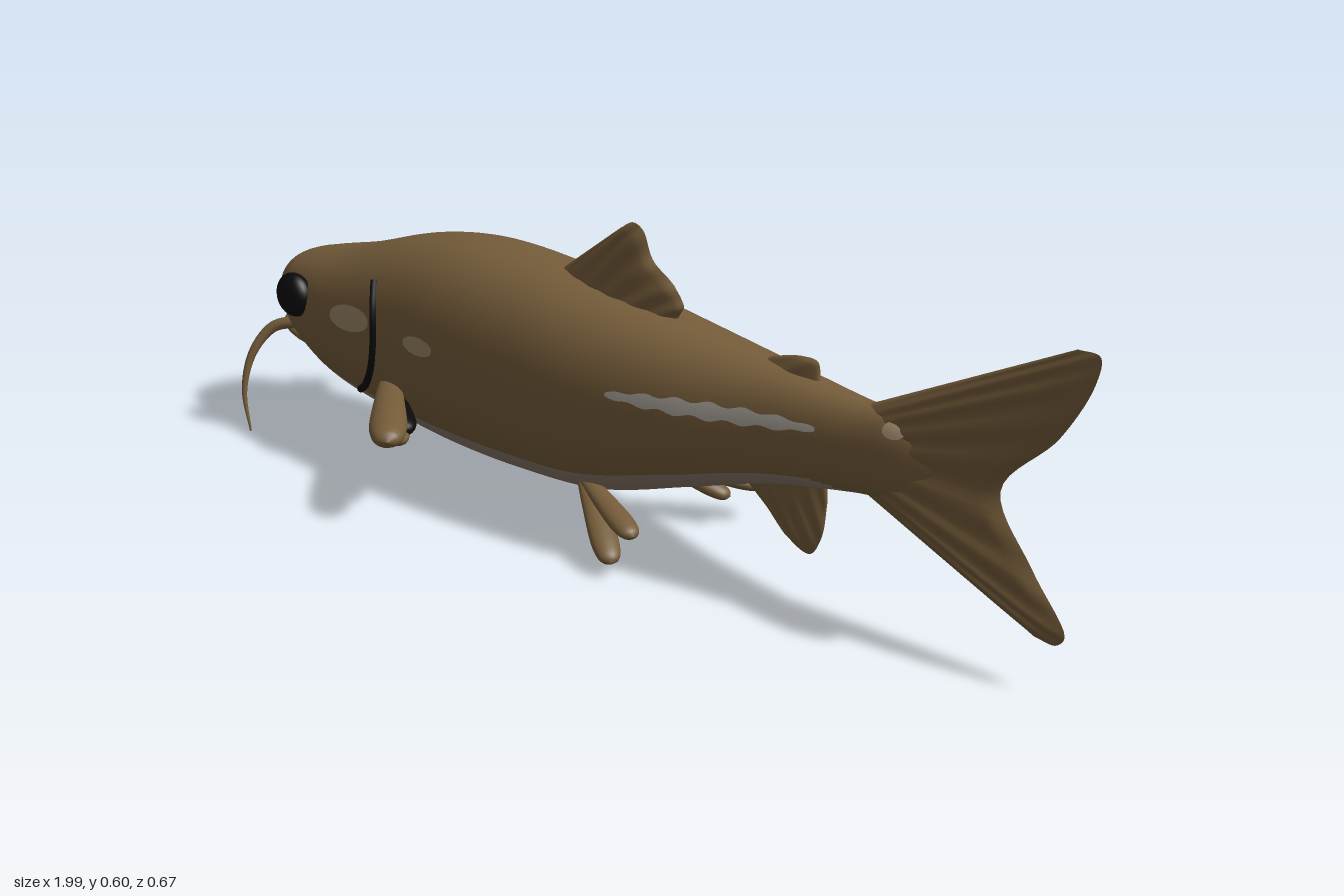
import * as THREE from 'three';

const V = (x, y, z) => new THREE.Vector3(x, y, z);
const paint = (name, color, extra = {}) => {
  const m = new THREE.MeshStandardMaterial({ color, ...extra });
  m.name = name;
  return m;
};

// Body stations: x, top, bottom, half width
const STATIONS = [
  [-0.985, 0.285, 0.275, 0.003], [-0.972, 0.325, 0.24, 0.055], [-0.94, 0.362, 0.222, 0.085],
  [-0.88, 0.382, 0.18, 0.115], [-0.74, 0.415, 0.125, 0.148], [-0.55, 0.47, 0.09, 0.16],
  [-0.38, 0.493, 0.074, 0.166], [-0.18, 0.485, 0.074, 0.163], [0, 0.462, 0.09, 0.153],
  [0.2, 0.437, 0.15, 0.122], [0.38, 0.418, 0.205, 0.08], [0.55, 0.398, 0.236, 0.05],
  [0.65, 0.39, 0.25, 0.034], [0.76, 0.33, 0.3, 0.006],
];

// Smooth cubic interpolation through the stations
function station(x) {
  const S = STATIONS, n = S.length;
  let i = 0;
  while (i < n - 2 && x > S[i + 1][0]) i++;
  const slope = (k, c) => {
    const a = S[Math.max(k - 1, 0)], b = S[Math.min(k + 1, n - 1)];
    return (b[c] - a[c]) / (b[0] - a[0]);
  };
  const d = S[i + 1][0] - S[i][0], t = (x - S[i][0]) / d, t2 = t * t, t3 = t2 * t;
  const val = (c) => (2 * t3 - 3 * t2 + 1) * S[i][c] + (t3 - 2 * t2 + t) * d * slope(i, c)
    + (3 * t2 - 2 * t3) * S[i + 1][c] + (t3 - t2) * d * slope(i + 1, c);
  const top = val(1), bot = val(2);
  return { c: (top + bot) / 2, h: (top - bot) / 2, w: val(3) };
}

const POW = 2.35; // squareness of the cross-section
const round = (v) => Math.sign(v) * Math.abs(v) ** (2 / POW);

// Half width of the body at a given x and y
function sideZ(x, y) {
  const s = station(x), q = Math.min(1, Math.abs((y - s.c) / s.h));
  return s.w * (1 - q ** POW) ** (1 / POW);
}

function gridGeometry(pos, index) {
  const g = new THREE.BufferGeometry();
  g.setAttribute('position', new THREE.Float32BufferAttribute(pos, 3));
  g.setIndex(index);
  g.computeVertexNormals();
  return g;
}

// Lofted body with a separate belly group
function bodyGeometry() {
  const NX = 130, NA = 80, pos = [], back = [], belly = [];
  for (let i = 0; i <= NX; i++) {
    const x = -0.985 + 1.745 * (i / NX) ** 1.4, s = station(x);
    for (let j = 0; j < NA; j++) {
      const a = (j / NA) * Math.PI * 2;
      pos.push(x, s.c - s.h * round(Math.cos(a)), s.w * round(Math.sin(a)));
      if (i === NX) continue;
      const mid = Math.min(j + 0.5, NA - j - 0.5) / NA * 360;
      const limit = 50 * Math.min(1, Math.max(0, (x + 0.9) * 6), Math.max(0, (0.6 - x) * 8));
      const k = (j + 1) % NA, p = i * NA, q = p + NA;
      (mid < limit ? belly : back).push(p + j, q + j, p + k, q + j, q + k, p + k);
    }
  }
  const g = gridGeometry(pos, [...back, ...belly]);
  g.addGroup(0, back.length, 0);
  g.addGroup(back.length, belly.length, 1);
  return g;
}

// Upright fin: swept from a root line to a tip curve, with raised rays
function finGeometry(root, tip, thick, rays) {
  const NU = 60, NV = 14, pos = [], index = [];
  const edge = new THREE.CatmullRomCurve3(tip.map((p) => V(p[0], p[1], 0)));
  const base = new THREE.LineCurve3(V(...root[0], 0), V(...root[1], 0));
  for (const side of [1, -1]) {
    const start = pos.length / 3;
    for (let i = 0; i <= NU; i++) {
      const u = i / NU, a = base.getPoint(u), b = edge.getPoint(u);
      for (let j = 0; j <= NV; j++) {
        const v = j / NV, p = a.clone().lerp(b, v);
        const ridge = 1 + 0.25 * v * Math.cos(u * rays * Math.PI * 2);
        const t = thick * (1 - 0.65 * v) * ridge * Math.sqrt(Math.max(0, Math.sin(Math.PI * u)) * (1 - v ** 8));
        pos.push(p.x, p.y, side * t);
        if (i === NU || j === NV) continue;
        const k = start + i * (NV + 1) + j, n = k + NV + 1;
        index.push(k, n, k + 1, n, n + 1, k + 1);
      }
    }
  }
  return gridGeometry(pos, index);
}

// Paddle-shaped lobe from a to b, flattened across the "flat" direction
function lobeGeometry(a, b, width, thick, flat) {
  const profile = [[0, 0], [0.5, 0.01], [0.68, 0.15], [0.85, 0.4], [1, 0.7], [0.93, 0.86], [0.65, 0.96], [0, 1]];
  const curve = new THREE.SplineCurve(profile.map((p) => new THREE.Vector2(...p)));
  const pts = curve.getPoints(24).map((p) => new THREE.Vector2(Math.max(0, p.x), p.y));
  const g = new THREE.LatheGeometry(pts, 20);
  const dir = b.clone().sub(a), wide = dir.clone().cross(flat).normalize();
  const thin = wide.clone().cross(dir).normalize();
  g.applyMatrix4(new THREE.Matrix4().makeBasis(wide.multiplyScalar(width), dir, thin.multiplyScalar(thick)).setPosition(a));
  return g;
}

// Thin marking that follows the flank
function patchGeometry(x0, x1, yMid, half, side) {
  const NX = 40, NY = 6, pos = [], index = [];
  for (let i = 0; i <= NX; i++) {
    const t = i / NX, x = x0 + (x1 - x0) * t;
    for (let j = 0; j <= NY; j++) {
      const y = yMid(t) + half(t) * (j / NY * 2 - 1);
      pos.push(x, y, side * (sideZ(x, y) + 0.004));
      if (i === NX || j === NY) continue;
      const k = i * (NY + 1) + j, n = k + NY + 1;
      if (side > 0) index.push(k, n, k + 1, n, n + 1, k + 1);
      else index.push(k, k + 1, n, n, k + 1, n + 1);
    }
  }
  return gridGeometry(pos, index);
}

// Tube tapering to a point
function taperedTube(points, radius) {
  const curve = new THREE.CatmullRomCurve3(points), N = 28, R = 10;
  const g = new THREE.TubeGeometry(curve, N, radius, R), p = g.attributes.position;
  for (let i = 0; i < p.count; i++) {
    const t = Math.floor(i / (R + 1)) / N, c = curve.getPointAt(t);
    const v = V(0, 0, 0).fromBufferAttribute(p, i).sub(c).multiplyScalar(1 - 0.85 * t).add(c);
    p.setXYZ(i, v.x, v.y, v.z);
  }
  g.computeVertexNormals();
  return g;
}

export function createModel() {
  const model = new THREE.Group();
  model.name = 'catfish';
  const skin = paint('brownSkin', 0x755c3a, { side: THREE.DoubleSide });
  const pale = paint('paleBelly', 0x8c786b);
  const black = paint('black', 0x0a0a0a);
  const tan = paint('tanSpot', 0x9a8468);
  const silver = paint('silverStripe', 0xa6a198);
  const add = (name, geo, mat) => {
    const m = new THREE.Mesh(geo, mat);
    m.name = name;
    model.add(m);
    return m;
  };

  add('body', bodyGeometry(), [skin, pale]);

  // Lower jaw
  const jaw = add('lowerJaw', new THREE.SphereGeometry(1, 32, 16), skin);
  jaw.scale.set(0.15, 0.028, 0.1);
  jaw.position.set(-0.85, 0.204, 0);
  jaw.rotation.z = -0.1;

  // Fins along the centre line
  add('tailFin', finGeometry([[0.56, 0.392], [0.56, 0.243]],
    [[0.95, 0.578], [0.99, 0.575], [0.985, 0.53], [0.93, 0.43], [0.83, 0.315], [0.9, 0.2], [0.965, 0.11], [0.95, 0.09], [0.91, 0.092]], 0.034, 9), skin);
  add('dorsalFin', finGeometry([[-0.19, 0.46], [0.12, 0.42]],
    [[-0.01, 0.585], [0.02, 0.6], [0.045, 0.59], [0.07, 0.54], [0.12, 0.505], [0.145, 0.47], [0.13, 0.445]], 0.033, 6), skin);
  add('adiposeFin', finGeometry([[0.32, 0.41], [0.46, 0.39]],
    [[0.36, 0.43], [0.42, 0.443], [0.455, 0.44], [0.46, 0.41]], 0.018, 2), skin);
  add('analFin', finGeometry([[0.27, 0.21], [0.48, 0.25]],
    [[0.36, 0.145], [0.41, 0.1], [0.45, 0.09], [0.475, 0.13], [0.485, 0.2]], 0.02, 5), skin);

  // Paired fins, posed differently on each side
  const up = V(0, 1, 0);
  const lobes = [
    ['leftPectoralFin', [-0.54, 0.195, 0.12], [-0.295, 0.182, 0.325], 0.036, 0.024, up],
    ['leftPectoralFinRay', [-0.53, 0.185, 0.13], [-0.35, 0.148, 0.255], 0.026, 0.018, up],
    ['rightPectoralFin', [-0.53, 0.175, -0.12], [-0.325, 0.02, -0.325], 0.036, 0.022, V(0.6, 1, 0)],
    ['rightPectoralFinRay', [-0.52, 0.14, -0.13], [-0.38, 0.025, -0.255], 0.028, 0.02, V(0.6, 1, 0)],
    ['leftPelvicFin', [-0.04, 0.13, 0.07], [0.145, 0.032, 0.18], 0.026, 0.017, up],
    ['leftPelvicFinRay', [-0.03, 0.125, 0.08], [0.165, 0.078, 0.145], 0.024, 0.016, up],
    ['rightPelvicFin', [-0.04, 0.13, -0.07], [0.165, 0.075, -0.208], 0.028, 0.017, up],
    ['rightPelvicFinRay', [-0.03, 0.125, -0.08], [0.13, 0.06, -0.15], 0.022, 0.016, up],
  ];
  for (const [name, a, b, w, t, flat] of lobes) add(name, lobeGeometry(V(...a), V(...b), w, t, flat), skin);

  // Dark mark behind the left pectoral fin
  add('pectoralMark', lobeGeometry(V(-0.5, 0.18, 0.145), V(-0.36, 0.163, 0.24), 0.033, 0.019, up), black);

  for (const side of [1, -1]) {
    const label = side > 0 ? 'left' : 'right';

    const eye = add(label + 'Eye', new THREE.SphereGeometry(0.046, 28, 18), black);
    eye.scale.z = 0.65;
    eye.position.set(-0.825, 0.315, side * 0.135);

    // Gill slit
    const slit = [[-0.56, 0.4], [-0.54, 0.35], [-0.535, 0.29], [-0.55, 0.23], [-0.59, 0.18], [-0.63, 0.155]]
      .map(([x, y]) => V(x, y, side * sideZ(x, y)));
    add(label + 'GillSlit', new THREE.TubeGeometry(new THREE.CatmullRomCurve3(slit), 40, 0.008, 8), black);

    // Whisker
    add(label + 'Whisker', taperedTube([V(-0.88, 0.235, side * 0.09), V(-0.92, 0.222, side * 0.125),
      V(-0.942, 0.17, side * 0.165), V(-0.945, 0.09, side * 0.19), V(-0.928, 0.004, side * 0.192)], 0.014), skin);

    // Flank markings
    const oval = (h) => (t) => h * Math.max(0.02, Math.sin(Math.PI * t)) ** 0.4;
    add(label + 'CheekSpot', patchGeometry(-0.68, -0.55, (t) => 0.31 + 0.01 * t, oval(0.026), side), tan);
    add(label + 'ShoulderSpot', patchGeometry(-0.435, -0.35, () => 0.31, oval(0.018), side), tan);
    add(label + 'TailSpot', patchGeometry(0.62, 0.66, () => 0.375, oval(0.014), side), tan);
    add(label + 'Stripe', patchGeometry(0.09, 0.5, (t) => 0.328 + 0.02 * t,
      (t) => oval(0.014)(t) * (1 + 0.25 * Math.sin(t * 40)), side), silver);
  }
  return model;
}
